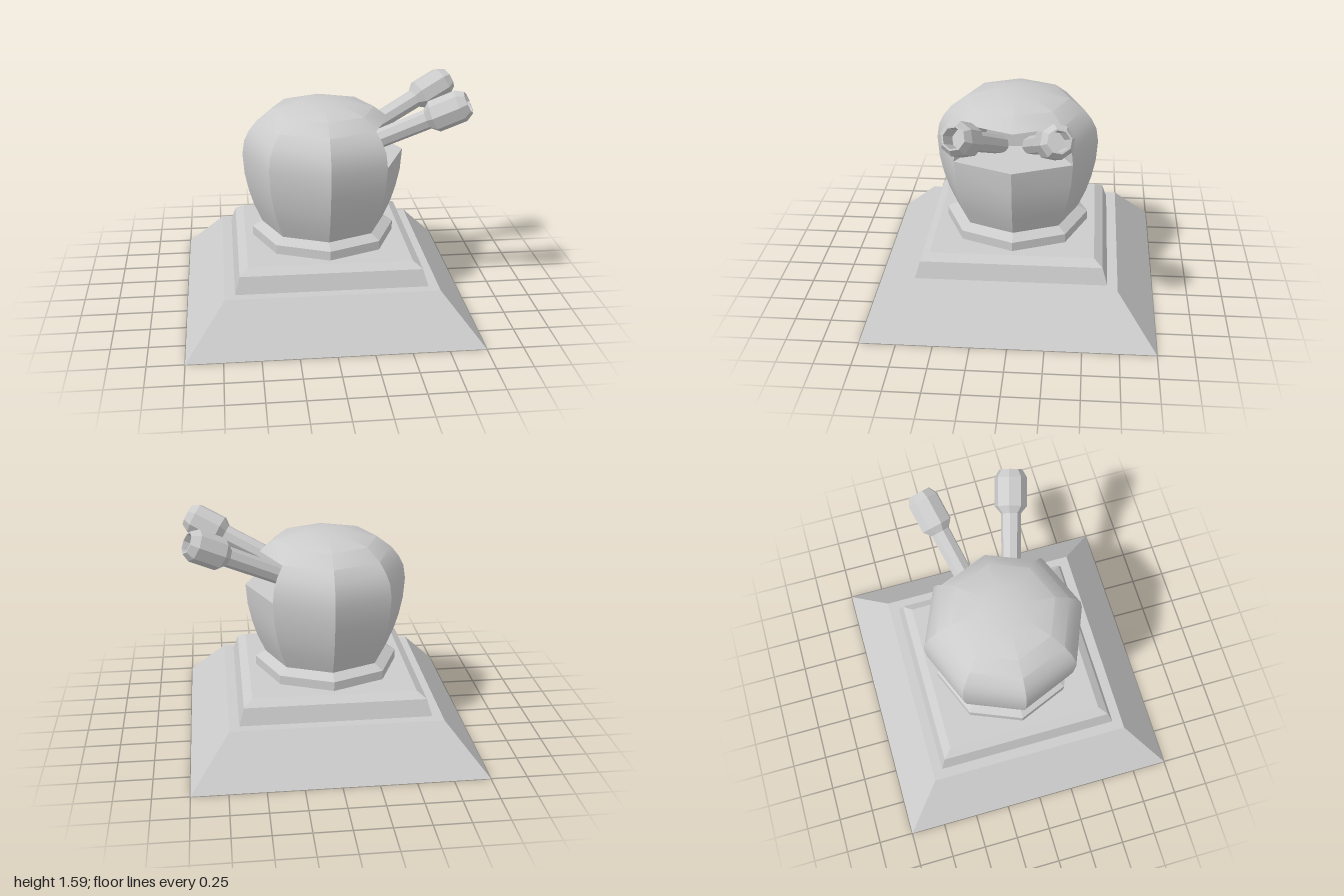
import * as THREE from 'three';
import { mergeGeometries, toCreasedNormals } from 'three/addons/utils/BufferGeometryUtils.js';

const flat = new THREE.MeshStandardMaterial({ color: 0xcccccc, flatShading: true, side: THREE.DoubleSide });
const smooth = new THREE.MeshStandardMaterial({ color: 0xcccccc, side: THREE.DoubleSide });

function lathe(profile, sides, start = 0, length = Math.PI * 2) {
  return new THREE.LatheGeometry(profile.map(([r, y]) => new THREE.Vector2(r, y)), sides, start, length);
}

function part(name, geometry, material = flat) {
  const mesh = new THREE.Mesh(geometry, material);
  mesh.name = name;
  return mesh;
}

// Hollow stepped square pedestal, with an octagonal hole in its top plate
function createBase() {
  const base = new THREE.Group();
  base.name = 'base';
  const steps = [[1, 0], [0.73, 0.315], [0.66, 0.315], [0.625, 0.43], [0.565, 0.47]];
  base.add(part('baseSteps', lathe(steps.map(([h, y]) => [h * Math.SQRT2, y]), 4, Math.PI / 4)));

  const h = 0.565;
  const plate = new THREE.Shape([[-h, -h], [h, -h], [h, h], [-h, h]].map(([x, y]) => new THREE.Vector2(x, y)));
  const hole = [];
  for (let i = 0; i < 8; i++) {
    const a = -i * Math.PI / 4;
    hole.push(new THREE.Vector2(0.5 * Math.cos(a), 0.5 * Math.sin(a)));
  }
  plate.holes.push(new THREE.Path(hole));
  const top = part('baseTop', new THREE.ShapeGeometry(plate).rotateX(-Math.PI / 2));
  top.position.y = 0.47;
  base.add(top);
  return base;
}

// Eight-sided dome, its two sectors facing +x left open between shelf and hood
function createDome() {
  const dome = new THREE.Group();
  dome.name = 'dome';
  const lower = [[0.44, 0.575], [0.495, 0.7], [0.53, 0.81], [0.558, 0.94], [0.57, 1.09]];
  const middle = [[0.57, 1.09], [0.555, 1.19], [0.52, 1.26], [0.465, 1.33]];
  const upper = [[0.465, 1.33], [0.36, 1.41], [0.17, 1.46], [0, 1.47]];
  const shell = mergeGeometries([
    lathe(lower, 8),
    lathe(middle, 6, Math.PI * 0.75, Math.PI * 1.5),
    lathe(upper, 8),
  ]);
  dome.add(part('domeShell', toCreasedNormals(shell, 0.5), smooth));

  // Shelf inside the opening
  const shelf = part('gunShelf', new THREE.CircleGeometry(0.57, 8).rotateX(-Math.PI / 2));
  shelf.position.y = 1.09;
  dome.add(shelf);

  // Recess narrowing from the opening's rim to a flat back wall
  const side = middle.map(([r, y]) => [r * Math.SQRT1_2, y, r * Math.SQRT1_2]);
  const rim = [...side, [0.465, 1.33, 0], ...side.map(([x, y, z]) => [x, y, -z]).reverse()];
  const back = rim.map(([, y, z]) => [0.12, 1.09 + (y - 1.09) * 0.5, z * 0.6]);
  const corners = [];
  for (let i = 0; i < rim.length - 1; i++) {
    corners.push(rim[i], back[i], rim[i + 1], rim[i + 1], back[i], back[i + 1]);
    corners.push([0.12, 1.09, 0], back[i + 1], back[i]);
  }
  const recess = new THREE.BufferGeometry();
  recess.setAttribute('position', new THREE.Float32BufferAttribute(corners.flat(), 3));
  recess.computeVertexNormals();
  dome.add(part('gunRecess', recess));
  return dome;
}

// Barrel with a flared, hollow muzzle; the profile runs along the gun's axis
function createGun(name, s) {
  const profile = [
    [0, -0.26], [0.065, -0.26], [0.07, 0.34], [0.113, 0.39],
    [0.113, 0.585], [0.08, 0.64], [0.068, 0.64], [0.068, 0.48], [0, 0.48],
  ];
  const gun = part(name, lathe(profile, 8, Math.PI / 8));
  const direction = new THREE.Vector3(1, 0.5, 0.28 * s).normalize();
  gun.quaternion.setFromUnitVectors(new THREE.Vector3(0, 1, 0), direction);
  gun.position.set(0.4, 1.235, 0.17 * s);
  return gun;
}

export function createModel() {
  const model = new THREE.Group();
  model.name = 'gunTurret';
  model.add(createBase());

  // Octagonal collar under the dome, with a closed underside
  const collar = [[0, 0.485], [0.5, 0.485], [0.5, 0.47], [0.51, 0.47], [0.51, 0.535], [0.44, 0.575]];
  model.add(part('collar', lathe(collar, 8)));

  model.add(createDome());
  model.add(createGun('frontGun', 1), createGun('backGun', -1));
  return model;
}
